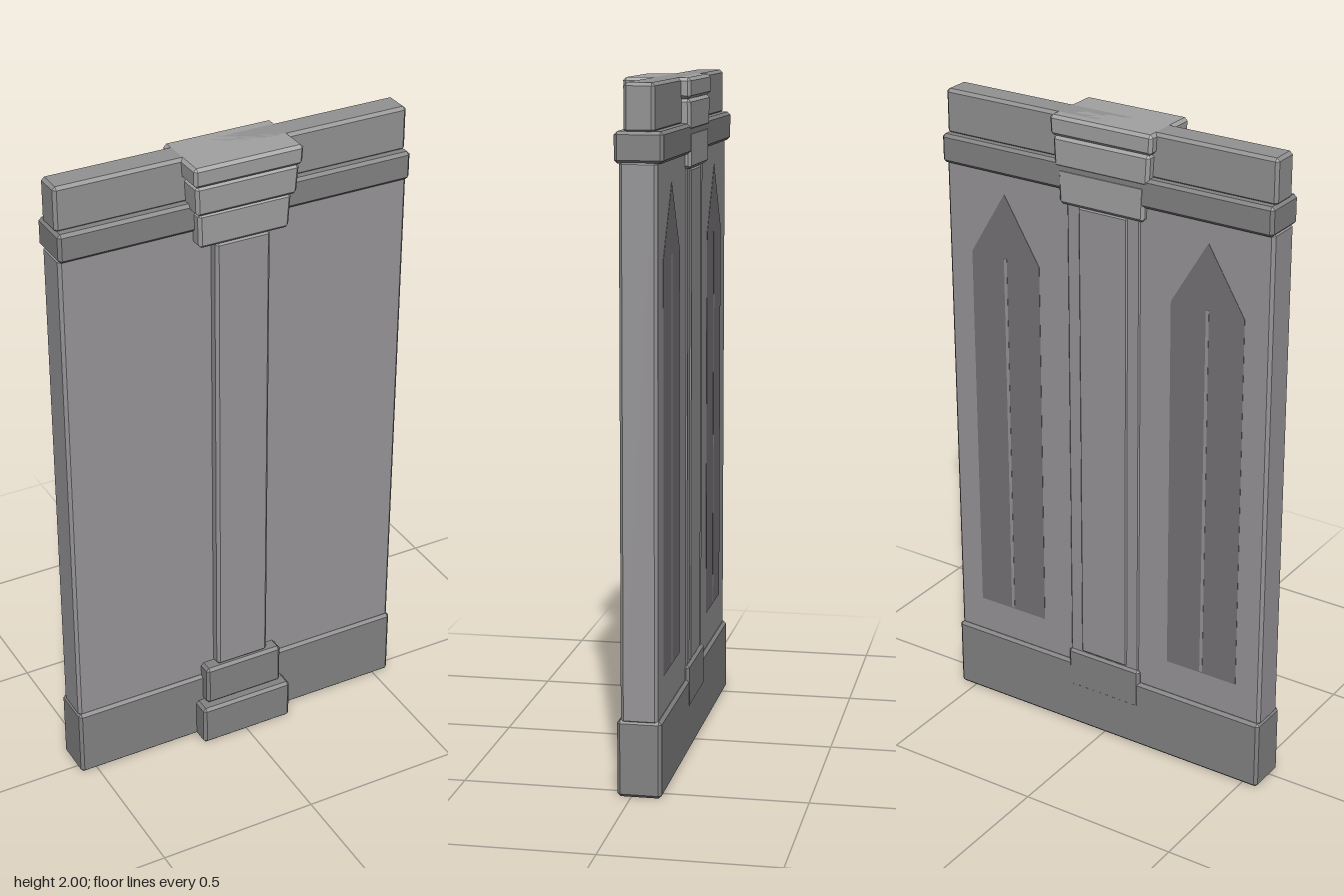
import * as THREE from 'three';
import { ConvexGeometry } from 'three/addons/geometries/ConvexGeometry.js';

const paint = (color) => new THREE.MeshStandardMaterial({ color });
const wallStone = paint(0x979598);
const trimStone = paint(0x838383);
const railStone = paint(0x929292);
const capitalStone = paint(0xa2a2a2);
const windowStone = paint(0x767376);

const CHAMFER = 0.009;

// Block with chamfered edges; taper draws the lower end in on the sides and front
function block(name, material, halfWidth, y0, y1, zBack, zFront, taper = 0) {
  const points = [];
  for (const sx of [-1, 1]) for (const sy of [-1, 1]) for (const sz of [-1, 1]) {
    const inset = sy < 0 ? taper : 0;
    const x = sx * (halfWidth - inset);
    const y = sy < 0 ? y0 : y1;
    const z = sz < 0 ? zBack : zFront - inset;
    const ix = x - sx * CHAMFER, iy = y - sy * CHAMFER, iz = z - sz * CHAMFER;
    points.push(
      new THREE.Vector3(x, iy, iz),
      new THREE.Vector3(ix, y, iz),
      new THREE.Vector3(ix, iy, z),
    );
  }
  const mesh = new THREE.Mesh(new ConvexGeometry(points), material);
  mesh.name = name;
  return mesh;
}

// Pointed blind window on the back face, with a slim central mullion
function lancet(name, x) {
  const group = new THREE.Group();
  group.name = name;
  const hw = 0.12, bottom = 0.335, shoulder = 1.52, peak = 1.72;
  const outline = new THREE.Shape([
    new THREE.Vector2(-hw, bottom), new THREE.Vector2(hw, bottom),
    new THREE.Vector2(hw, shoulder), new THREE.Vector2(0, peak),
    new THREE.Vector2(-hw, shoulder),
  ]);
  const panel = new THREE.Mesh(
    new THREE.ExtrudeGeometry(outline, { depth: 0.004, bevelEnabled: false }), windowStone);
  panel.name = 'lancetPanel';
  panel.position.z = -0.078;
  const mullion = new THREE.Mesh(new THREE.BoxGeometry(0.01, 1.18, 0.004), wallStone);
  mullion.name = 'mullion';
  mullion.position.set(0, 0.93, -0.0767);
  group.add(panel, mullion);
  group.position.x = x;
  return group;
}

export function createModel() {
  const model = new THREE.Group();
  model.name = 'wallPanel';

  // Full-width wall courses
  model.add(
    block('plinth', trimStone, 0.553, 0, 0.225, -0.088, 0.04),
    block('wall', wallStone, 0.55, 0.215, 1.79, -0.077, 0.03),
    block('cornice', trimStone, 0.553, 1.783, 1.87, -0.094, 0.043),
    block('topRail', railStone, 0.55, 1.865, 2, -0.07, 0.017),
  );

  // Central pilaster with stepped base and capital
  model.add(
    block('pilasterFoot', trimStone, 0.153, 0, 0.133, -0.08, 0.095),
    block('pilasterBase', trimStone, 0.13, 0.135, 0.268, -0.089, 0.073),
    block('pilasterBacking', wallStone, 0.128, 0.25, 1.76, -0.081, 0),
    block('pilasterShaft', wallStone, 0.087, 0.265, 1.742, -0.085, 0.062),
    block('capitalLower', capitalStone, 0.146, 1.74, 1.848, -0.095, 0.073, 0.004),
    block('capitalMiddle', capitalStone, 0.161, 1.848, 1.94, -0.096, 0.089, 0.004),
    block('capitalTop', capitalStone, 0.17, 1.94, 2, -0.098, 0.098, 0.002),
  );

  // Blind windows on the back
  for (const side of [-1, 1]) {
    model.add(lancet(side > 0 ? 'leftLancet' : 'rightLancet', side * 0.345));
  }
  return model;
}
